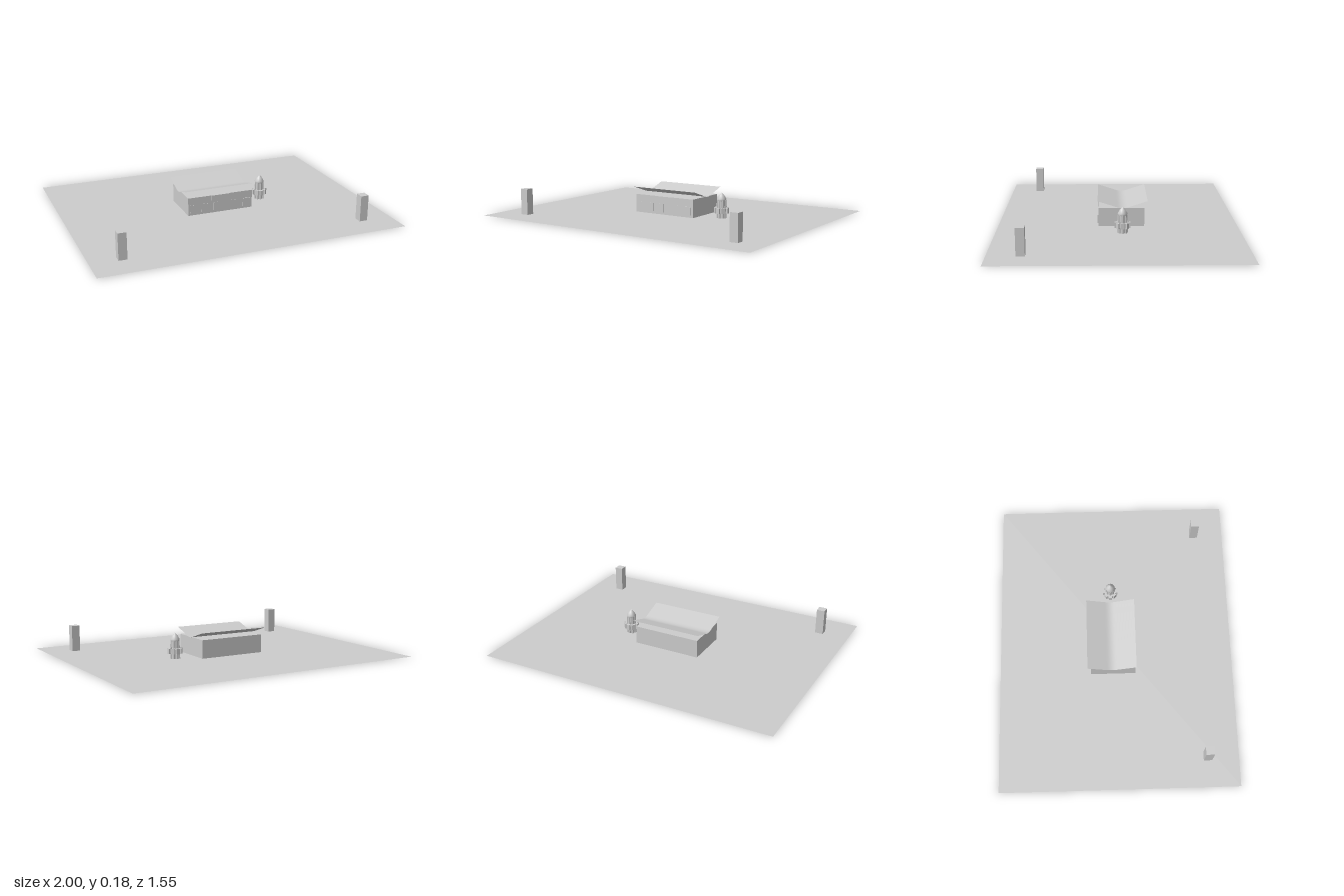
import * as THREE from 'three';

export function createModel() {
  const model = new THREE.Group();
  const grey = new THREE.MeshStandardMaterial({ color: 0xcccccc, side: THREE.DoubleSide });
  grey.name = 'plainGrey';

  const add = (name, geometry, x, y, z, parent = model) => {
    const mesh = new THREE.Mesh(geometry, grey);
    mesh.name = name;
    mesh.position.set(x, y, z);
    parent.add(mesh);
    return mesh;
  };
  const box = (name, w, h, d, x, y, z, parent) =>
    add(name, new THREE.BoxGeometry(w, h, d), x, y, z, parent);

  // Flat ground sheet
  add('ground', new THREE.PlaneGeometry(2, 1.55).rotateX(-Math.PI / 2), 0, 0.002, 0);

  // Two square gate posts at the front
  for (const side of [-1, 1]) box('gatePost', 0.054, 0.173, 0.054, side * 0.8, 0.0865, 0.573);

  // Building with sign and front panels
  const building = new THREE.Group();
  building.name = 'building';
  model.add(building);
  box('walls', 0.45, 0.12, 0.295, 0, 0.07, -0.0225, building);
  box('sign', 0.125, 0.035, 0.006, -0.003, 0.1125, 0.127, building);
  for (const x of [-0.19, -0.11, -0.025, 0.1])
    box('window', 0.045, 0.055, 0.003, x, 0.0525, 0.1255, building);
  box('door', 0.05, 0.055, 0.007, 0.185, 0.0525, 0.1275, building);

  // Butterfly roof: a thin sheet with a softly bent valley
  const roof = new THREE.PlaneGeometry(0.48, 0.32, 1, 32).rotateX(-Math.PI / 2);
  const p = roof.attributes.position;
  const bend = 0.03;
  for (let i = 0; i < p.count; i++) {
    const d = Math.abs(p.getZ(i));
    const rise = d < bend ? (d * d) / (2 * bend) : d - bend / 2;
    p.setY(i, rise * 0.047 / (0.16 - bend / 2));
  }
  roof.computeVertexNormals();
  add('roof', roof, 0, 0.131, -0.03, building);

  // Ribbed tower with a pointed cap and a toothed collar
  const tower = new THREE.Group();
  tower.name = 'tower';
  tower.position.set(0.348, 0, -0.027);
  model.add(tower);
  add('shaft', new THREE.CylinderGeometry(0.027, 0.027, 0.125, 16), 0, 0.0625, 0, tower);
  add('cap', new THREE.LatheGeometry([
    [0.027, 0.115], [0.031, 0.128], [0.018, 0.15], [0, 0.17],
  ].map(([r, y]) => new THREE.Vector2(r, y)), 16), 0, 0, 0, tower);
  for (let i = 0; i < 8; i++) {
    const a = (i / 8) * Math.PI * 2;
    const rib = add('rib', new THREE.CylinderGeometry(0.004, 0.008, 0.12, 6),
      Math.sin(a) * 0.027, 0.06, Math.cos(a) * 0.027, tower);
    rib.rotation.y = a;
    const reach = i % 2 ? 0.038 : 0.041;
    const tooth = box('collarTooth', 0.022, 0.035, 0.018,
      Math.sin(a) * reach, 0.0525, Math.cos(a) * reach, tower);
    tooth.rotation.y = a;
  }
  add('collar', new THREE.CylinderGeometry(0.04, 0.04, 0.03, 16), 0, 0.0525, 0, tower);

  return model;
}
